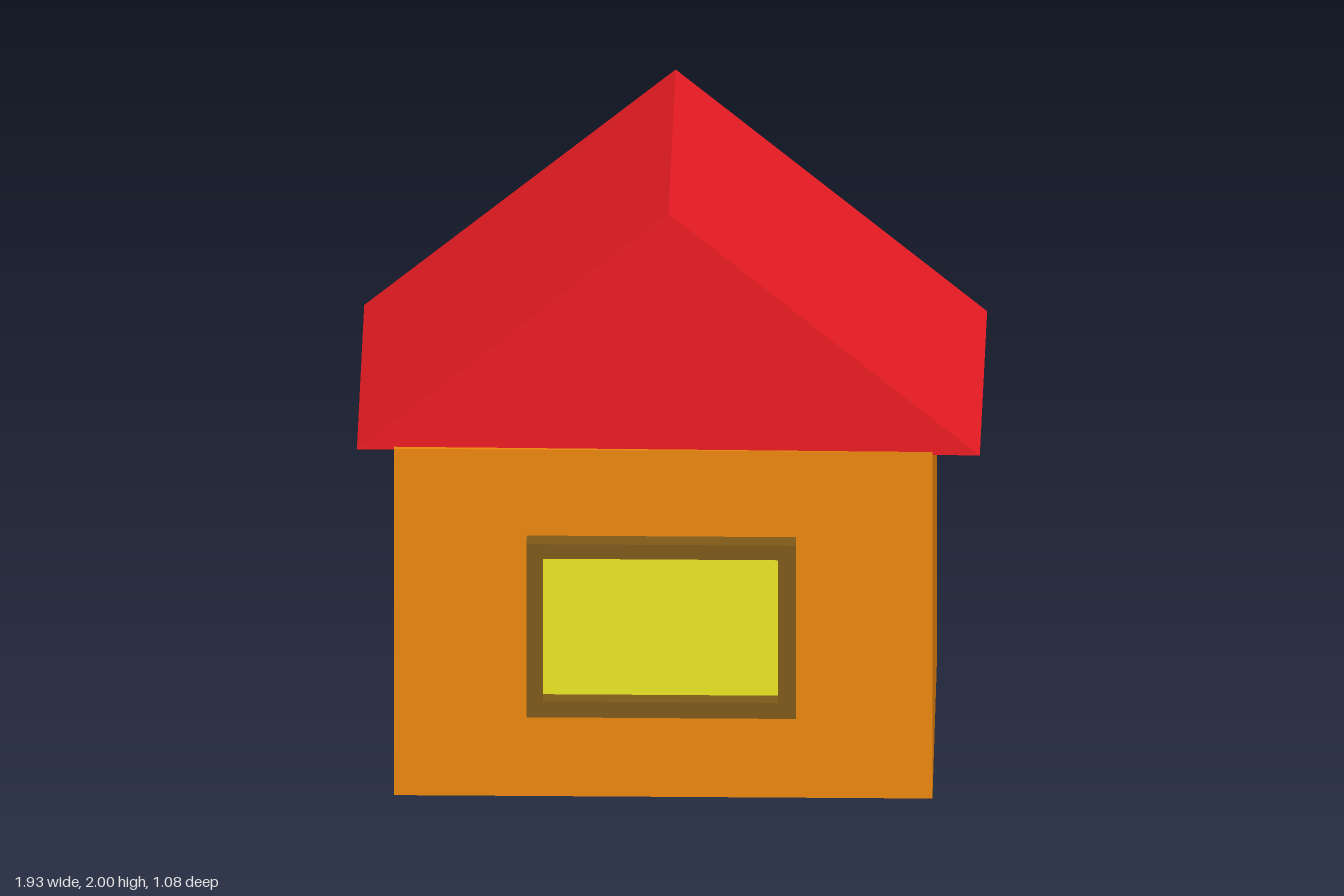
import * as THREE from 'three';

function part(name, geometry, color) {
  const mesh = new THREE.Mesh(geometry, new THREE.MeshStandardMaterial({ color, flatShading: true }));
  mesh.name = name;
  return mesh;
}

// Box given by its low and high corners
function box(name, [x0, y0, z0], [x1, y1, z1], color) {
  const mesh = part(name, new THREE.BoxGeometry(x1 - x0, y1 - y0, z1 - z0), color);
  mesh.position.set((x0 + x1) / 2, (y0 + y1) / 2, (z0 + z1) / 2);
  return mesh;
}

const rectangle = (x0, y0, x1, y1) => [[x0, y0], [x1, y0], [x1, y1], [x0, y1]].map(p => new THREE.Vector2(...p));

export function createModel() {
  const house = new THREE.Group();
  house.name = 'house';

  // Walls
  house.add(box('walls', [-0.85, 0, -0.52], [0.81, 1.19, 0.48], 0xed880e));

  // Gabled roof, turned very slightly on the walls
  const gable = new THREE.Shape([[-0.96, 1.18], [0.96, 1.18], [0, 2]].map(p => new THREE.Vector2(...p)));
  const roofGeometry = new THREE.ExtrudeGeometry(gable, { depth: 1.005, bevelEnabled: false });
  roofGeometry.translate(0, 0, -0.5025);
  const roof = part('roof', roofGeometry, 0xed1c24);
  roof.position.z = -0.03;
  roof.rotation.y = -0.008;
  house.add(roof);

  // Window: raised frame around a recessed pane
  const outline = new THREE.Shape(rectangle(-0.44, 0.3, 0.39, 0.895));
  outline.holes.push(new THREE.Path(rectangle(-0.39, 0.355, 0.335, 0.845)));
  const frame = part('windowFrame', new THREE.ExtrudeGeometry(outline, { depth: 0.06, bevelEnabled: false }), 0x7f5a1a);
  frame.position.z = 0.48;
  house.add(frame);
  house.add(box('windowPane', [-0.39, 0.355, 0.47], [0.335, 0.845, 0.49], 0xede824));

  return house;
}
